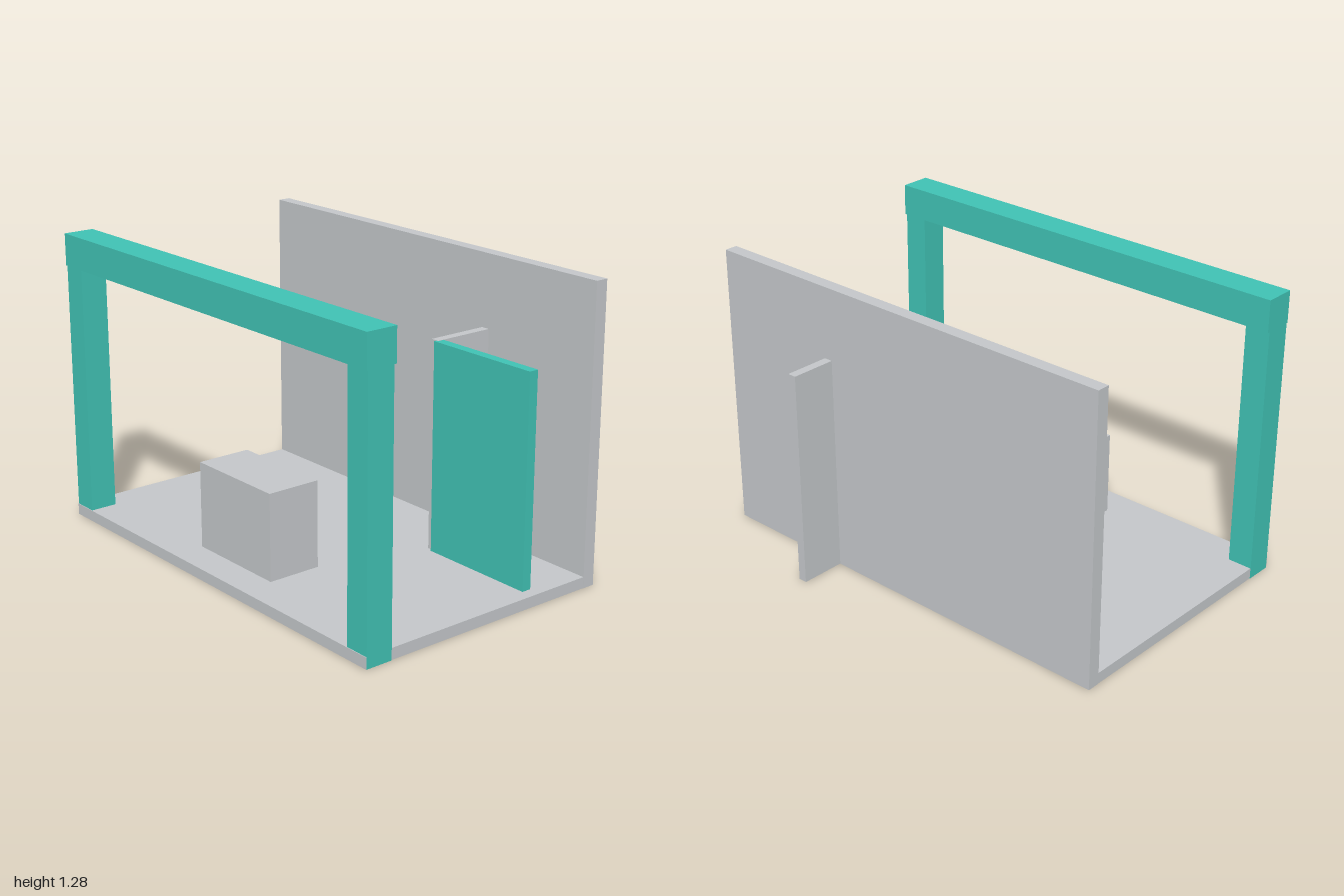
import * as THREE from 'three';

const grey = new THREE.MeshStandardMaterial({ color: 0xc3c6c9 });
grey.name = 'light grey';
const teal = new THREE.MeshStandardMaterial({ color: 0x40c1b3 });
teal.name = 'teal';

// Box given by its extents along each axis
function block(name, material, [x0, x1], [y0, y1], [z0, z1]) {
  const mesh = new THREE.Mesh(new THREE.BoxGeometry(x1 - x0, y1 - y0, z1 - z0), material);
  mesh.position.set((x0 + x1) / 2, (y0 + y1) / 2, (z0 + z1) / 2);
  mesh.name = name;
  return mesh;
}

export function createModel() {
  const model = new THREE.Group();
  model.name = 'booth';

  // Floor sits a hair inside the posts so their feet show at the sides and below
  model.add(
    block('floor', grey, [-0.999, 0.999], [0.001, 0.05], [-0.5, 0.702]),
    block('backWall', grey, [-1, 1], [0.0005, 1.282], [-0.504, -0.447]),
    block('counter', grey, [-0.24, 0.237], [0.04, 0.428], [0.318, 0.56]),
    block('dividerWall', grey, [0.376, 0.415], [0.0015, 0.964], [-0.705, -0.165]),
    block('screenPanel', teal, [0.405, 0.947], [0, 0.963], [-0.196, -0.153])
  );

  // Front frame: two posts carrying a beam
  const frame = new THREE.Group();
  frame.name = 'frontFrame';
  frame.add(
    block('rightPost', teal, [-1, -0.888], [0, 1.16], [0.578, 0.699]),
    block('leftPost', teal, [0.888, 1], [0, 1.16], [0.578, 0.699]),
    block('beam', teal, [-1, 1], [1.145, 1.285], [0.567, 0.705])
  );
  model.add(frame);

  return model;
}
